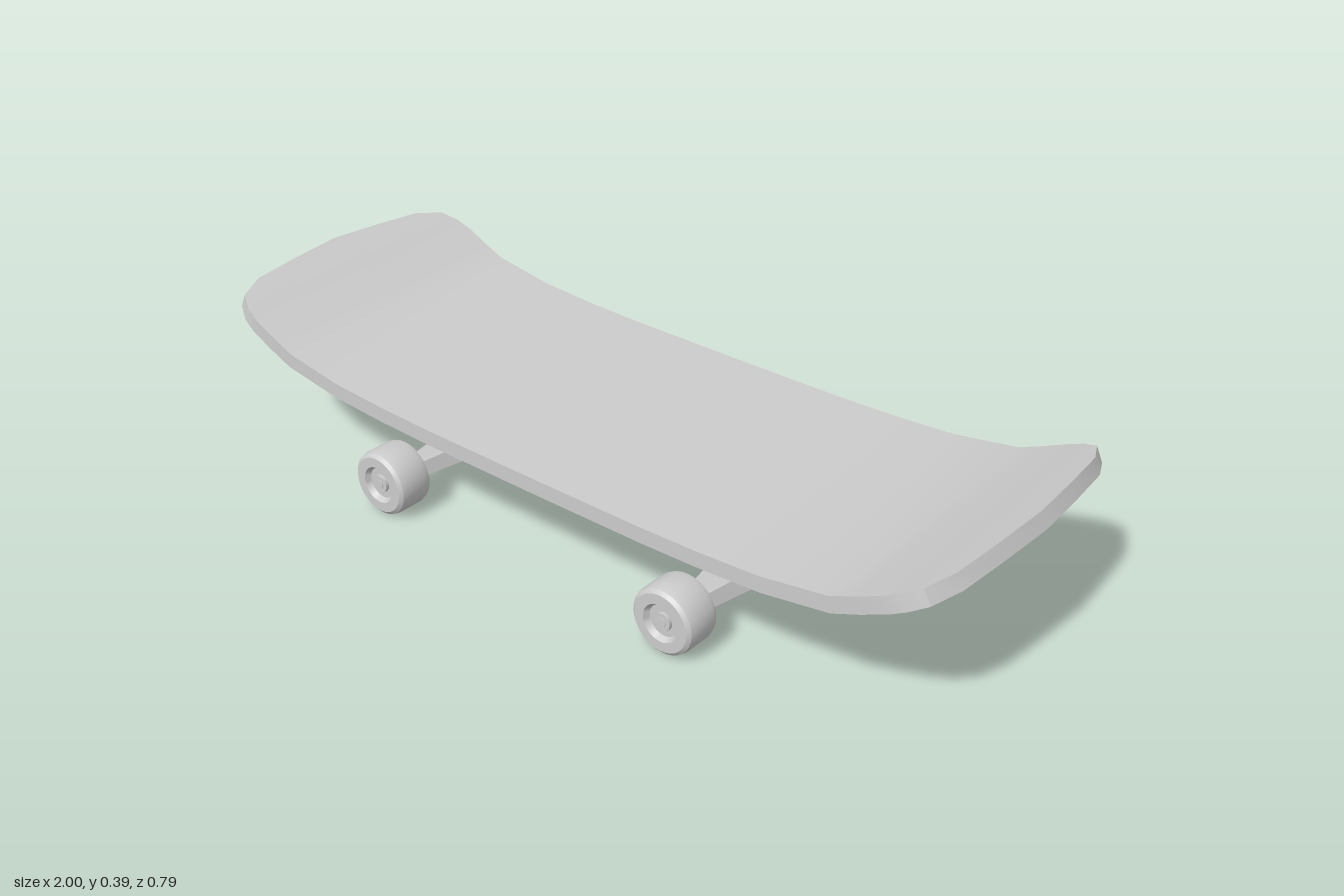
import * as THREE from 'three';
import { toCreasedNormals } from 'three/addons/utils/BufferGeometryUtils.js';

const material = new THREE.MeshStandardMaterial({ color: 0xcccccc });

function part(name, geometry, x = 0, y = 0, z = 0) {
  const mesh = new THREE.Mesh(geometry, material);
  mesh.name = name;
  mesh.position.set(x, y, z);
  return mesh;
}

// Skin a row of closed rings (each counterclockwise about the loft direction), with end caps
function loft(rings, crease) {
  const n = rings[0].length;
  const position = [];
  const tri = (...corners) => corners.forEach((p) => position.push(...p));
  for (let i = 0; i < rings.length - 1; i++) {
    for (let j = 0; j < n; j++) {
      const k = (j + 1) % n;
      const [a, b, c, d] = [rings[i][j], rings[i][k], rings[i + 1][k], rings[i + 1][j]];
      tri(a, b, c);
      tri(a, c, d);
    }
  }
  const first = rings[0], last = rings[rings.length - 1];
  for (let j = 1; j < n - 1; j++) {
    tri(first[0], first[j + 1], first[j]);
    tri(last[0], last[j], last[j + 1]);
  }
  const geometry = new THREE.BufferGeometry();
  geometry.setAttribute('position', new THREE.Float32BufferAttribute(position, 3));
  geometry.computeVertexNormals();
  return toCreasedNormals(geometry, crease);
}

// Deck: half of the stations along the length, mirrored; each is [x, underside y, half width]
function deckGeometry() {
  const half = [
    [0, 0.21, 0.352], [0.3, 0.211, 0.352], [0.45, 0.215, 0.352], [0.6, 0.224, 0.352],
    [0.76, 0.25, 0.352], [0.82, 0.275, 0.352], [0.88, 0.303, 0.352], [0.915, 0.32, 0.345],
    [0.95, 0.337, 0.325], [0.977, 0.349, 0.26], [0.99, 0.355, 0.14], [1, 0.36, 0.01],
  ];
  const stations = [...half.slice(1).reverse().map(([x, y, w]) => [-x, y, w]), ...half];
  const thickness = 0.037;
  const rings = stations.map(([x, y, w], i) => {
    const p = stations[Math.max(i - 1, 0)];
    const q = stations[Math.min(i + 1, stations.length - 1)];
    const angle = Math.atan2(q[1] - p[1], q[0] - p[0]);
    const tx = x - thickness * Math.sin(angle);
    const ty = y + thickness * Math.cos(angle);
    return [[tx, ty, -w], [tx, ty, w], [x, y, w], [x, y, -w]];
  });
  return loft(rings, 0.6);
}

// Hanger: a tilted leaf-shaped bar tapering towards both wheels; [z, half length, half thickness, y]
function hangerGeometry() {
  const half = [
    [0, 0.088, 0.018, 0.068], [0.06, 0.084, 0.018, 0.069], [0.12, 0.069, 0.019, 0.069],
    [0.2, 0.046, 0.019, 0.07], [0.305, 0.022, 0.016, 0.071],
  ];
  const stations = [...half.slice(1).reverse().map(([z, ...rest]) => [-z, ...rest]), ...half];
  const cos = Math.cos(0.25), sin = Math.sin(0.25);
  const rings = stations.map(([z, a, b, y]) =>
    [[-1, -1], [1, -1], [1, 1], [-1, 1]].map(([i, j]) =>
      [i * a * cos - j * b * sin, y + i * a * sin + j * b * cos, z]));
  return loft(rings, 0.6);
}

// Wheel: rounded tread with a recessed outer face
function wheelGeometry() {
  const profile = [
    [0, 0], [0.066, 0], [0.074, 0.005], [0.078, 0.018], [0.078, 0.074], [0.075, 0.086],
    [0.067, 0.093], [0.044, 0.093], [0.037, 0.08], [0, 0.08],
  ].map(([r, y]) => new THREE.Vector2(r, y));
  return toCreasedNormals(new THREE.LatheGeometry(profile, 32).rotateX(Math.PI / 2), 0.6);
}

function createTruck() {
  const truck = new THREE.Group();
  truck.name = 'truck';

  // Base: a mounting plate with a thinner riser above it
  truck.add(part('basePlate', new THREE.BoxGeometry(0.25, 0.014, 0.19), 0.025, 0.192, 0));
  truck.add(part('riser', new THREE.BoxGeometry(0.26, 0.022, 0.2), 0.025, 0.209, 0));

  // Bracket: two side cheeks joined by a lower crossbar
  const cheek = new THREE.Shape([
    [-0.103, 0.187], [-0.103, 0.14], [-0.06, 0.125], [0.085, 0.125],
    [0.097, 0.06], [0.153, 0.073], [0.153, 0.187],
  ].map(([x, y]) => new THREE.Vector2(x, y)));
  const cheekGeometry = new THREE.ExtrudeGeometry(cheek, { depth: 0.03, bevelEnabled: false });
  for (const z of [0.035, -0.065]) truck.add(part('bracketSide', cheekGeometry, 0, 0, z));
  const bar = new THREE.BoxGeometry(0.056, 0.023, 0.08);
  const crossbar = part('bracketCrossbar', bar, 0.123, 0.079, 0);
  crossbar.rotation.z = 0.22;
  truck.add(crossbar);

  truck.add(part('hanger', hangerGeometry()));

  // Axle, wheels and nuts
  const rod = (r, length, sides) => new THREE.CylinderGeometry(r, r, length, sides).rotateX(Math.PI / 2);
  truck.add(part('axle', rod(0.011, 0.784, 16), 0, 0.078, 0));
  const wheel = wheelGeometry();
  const nut = rod(0.021, 0.012, 16);
  for (const side of [1, -1]) {
    const assembly = new THREE.Group();
    assembly.name = 'wheelAssembly';
    assembly.position.set(0, 0.078, side * 0.302);
    assembly.rotation.y = side > 0 ? 0 : Math.PI;
    assembly.add(part('wheel', wheel), part('axleNut', nut, 0, 0, 0.082));
    truck.add(assembly);
  }
  return truck;
}

export function createModel() {
  const model = new THREE.Group();
  model.name = 'skateboard';
  model.add(part('deck', deckGeometry()));
  // Both trucks face the same way
  for (const x of [-0.43, 0.39]) {
    const truck = createTruck();
    truck.position.x = x;
    model.add(truck);
  }
  return model;
}
